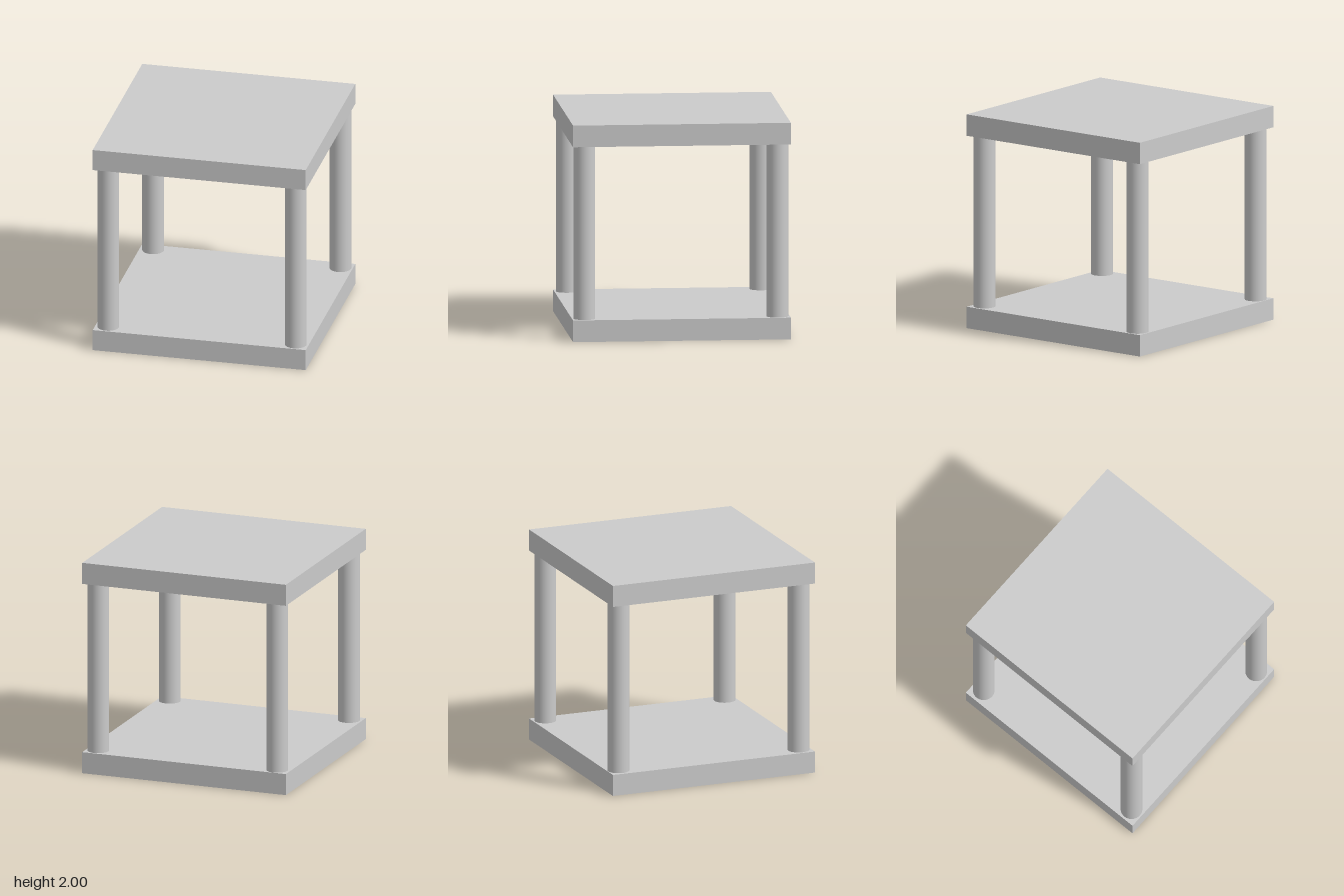
import * as THREE from 'three';

export function createModel() {
  const model = new THREE.Group();
  const material = new THREE.MeshStandardMaterial({ color: 0xcccccc });
  const slabHeight = 0.2;

  const add = (name, geometry, x, y, z) => {
    const mesh = new THREE.Mesh(geometry, material);
    mesh.name = name;
    mesh.position.set(x, y, z);
    model.add(mesh);
  };

  // Square slabs at the bottom and top
  const slab = new THREE.BoxGeometry(2, slabHeight, 2);
  add('baseSlab', slab, 0, slabHeight / 2, 0);
  add('topSlab', slab, 0, 2 - slabHeight / 2, 0);

  // Round posts near the corners, placed very slightly unevenly
  const post = new THREE.CylinderGeometry(0.1, 0.1, 2 - 2 * slabHeight, 32);
  const posts = {
    frontLeftPost: [0.88, 0.886],
    frontRightPost: [-0.88, 0.886],
    backLeftPost: [0.887, -0.886],
    backRightPost: [-0.873, -0.893],
  };
  for (const [name, [x, z]] of Object.entries(posts)) add(name, post, x, 1, z);

  return model;
}
